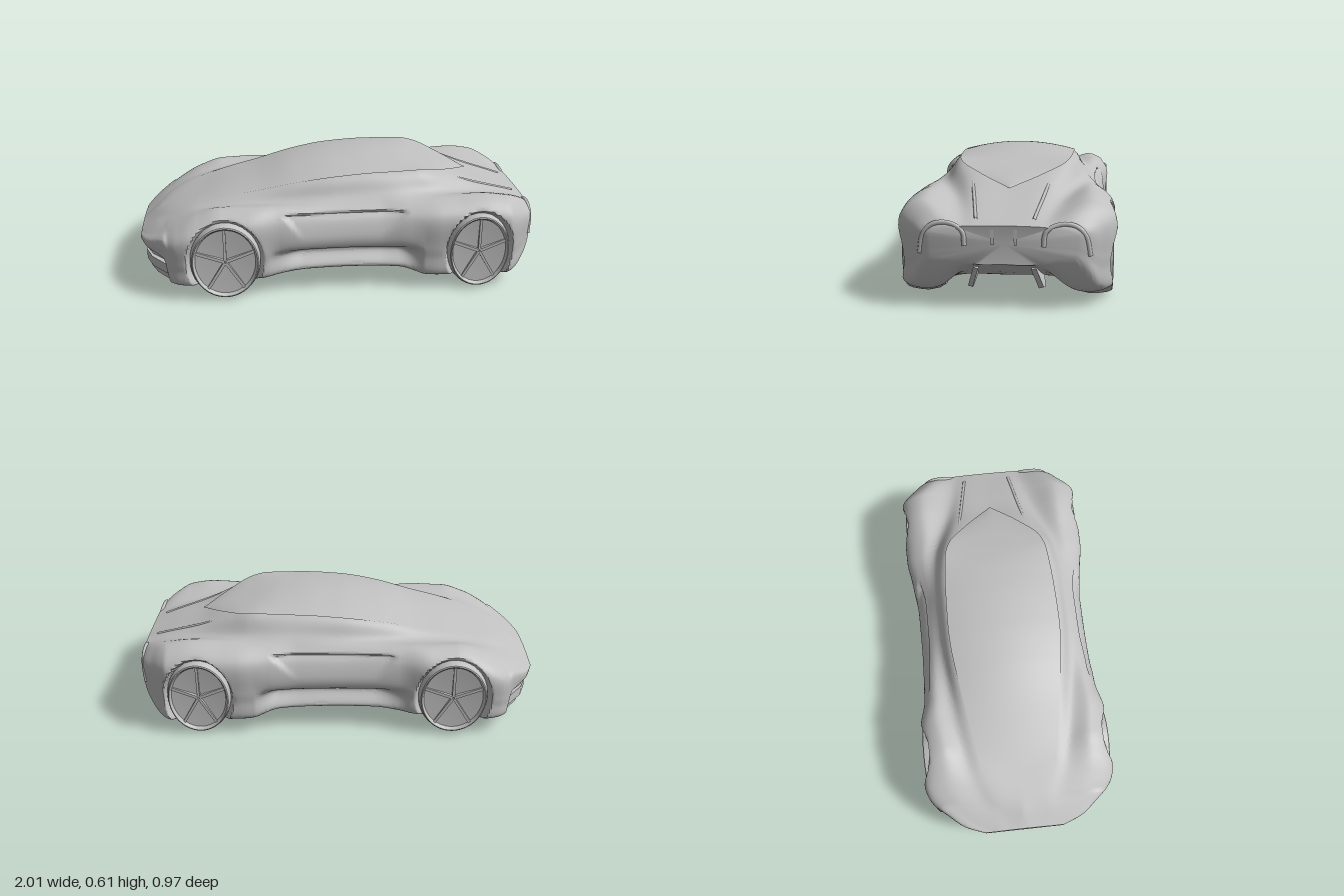
import * as THREE from 'three';
import { toCreasedNormals } from 'three/addons/utils/BufferGeometryUtils.js';

const silver = new THREE.MeshStandardMaterial({ color: 0xc0c0c0, side: THREE.DoubleSide });
silver.name = 'silver grey';

// Smooth monotone curve through [x, value] pairs
function curve(...p) {
  const n = p.length;
  const slope = i => (p[i + 1][1] - p[i][1]) / (p[i + 1][0] - p[i][0]);
  const tan = p.map((_, i) => {
    if (i === 0) return slope(0);
    if (i === n - 1) return slope(n - 2);
    const a = slope(i - 1), b = slope(i);
    return a * b <= 0 ? 0 : 2 * a * b / (a + b);
  });
  return x => {
    let i = 0;
    while (i < n - 2 && x > p[i + 1][0]) i++;
    const h = p[i + 1][0] - p[i][0], t = Math.min(1, Math.max(0, (x - p[i][0]) / h));
    const t2 = t * t, t3 = t2 * t;
    return (2 * t3 - 3 * t2 + 1) * p[i][1] + (t3 - 2 * t2 + t) * h * tan[i]
      + (3 * t2 - 2 * t3) * p[i + 1][1] + (t3 - t2) * h * tan[i + 1];
  };
}

// Body lines along the length (nose at -x, tail at +x)
const width = curve([-1, .2], [-.96, .3], [-.9, .375], [-.85, .43], [-.8, .465], [-.74, .48], [-.45, .475],
  [-.3, .445], [0, .435], [.2, .437], [.35, .455], [.5, .48], [.84, .482], [.88, .46], [.93, .415], [.98, .365], [1, .315]);
const floorY = curve([-1, .235], [-.87, .205], [-.845, .075], [-.4, .09], [0, .1], [.25, .09], [.45, .075],
  [.65, .07], [.85, .13], [1, .21]);
const rimY = curve([-1, .235], [-.87, .205], [-.845, .08], [-.7, .075], [-.4, .09], [0, .1], [.3, .09],
  [.45, .07], [.87, .062], [.92, .085], [.97, .16], [1, .24]);
const fenderY = curve([-1, .255], [-.95, .285], [-.9, .315], [-.8, .37], [-.7, .42], [-.58, .455], [-.4, .455],
  [-.2, .445], [0, .44], [.2, .44], [.4, .455], [.55, .47], [.72, .478], [.85, .46], [.93, .425], [.98, .39], [1, .365]);
const shoulder = curve([-.6, .78], [-.25, .88], [.25, .88], [.6, .78]);
const valleyZ = curve([-1, .12], [-.7, .25], [-.3, .315], [0, .337], [.25, .34], [.45, .325], [.7, .25], [1, .18]);
const valleyY = curve([-1, .26], [-.9, .325], [-.7, .41], [-.5, .443], [-.3, .457], [0, .482], [.3, .495],
  [.5, .478], [.7, .444], [.9, .405], [1, .375]);
const edgeZ = curve([-1, .06], [-.7, .19], [-.4, .24], [0, .282], [.2, .278], [.45, .255], [.6, .2], [.8, .15], [1, .12]);
const edgeY = curve([-1, .262], [-.85, .36], [-.7, .418], [-.55, .455], [-.4, .485], [-.2, .53], [0, .558],
  [.2, .569], [.4, .568], [.55, .53], [.72, .467], [.9, .412], [1, .378]);
const spineY = curve([-1, .265], [-.9, .34], [-.7, .42], [-.58, .458], [-.4, .507], [-.2, .567], [0, .597],
  [.15, .602], [.3, .592], [.5, .55], [.62, .51], [.72, .468], [.85, .427], [.95, .395], [1, .38]);
const scoop = curve([-.36, 0], [-.17, 1], [.3, 1], [.42, 0]);

const wheels = [
  { name: 'front', x: -.57, y: .207, rx: .178 },
  { name: 'rear', x: .70, y: .205, rx: .163 },
];
const wheelRadius = .205;

// Half cross-section from the floor centre round to the roof centre
function halfSection(x, perSpan) {
  const w = width(x), r = rimY(x), f = fenderY(x), s = scoop(x);
  const up = t => r + (f - r) * t;
  const pts = [
    [0, floorY(x)], [w * .4, floorY(x)], [w * .7, r], [w * (.97 - s * .03), up(.05 + s * .05)],
    [w * (.99 - s * .03) - s * .05, up(.3 + s * .02)], [w, up(.45)], [w * .988, up(.83)],
    [w * shoulder(x), f], [Math.min(valleyZ(x), w * (shoulder(x) - .09)), valleyY(x)],
    [edgeZ(x), edgeY(x)], [0, spineY(x)],
  ].map(([z, y]) => new THREE.Vector3(x, y, z));
  const line = new THREE.CatmullRomCurve3(pts, false, 'centripetal');
  return line.getPoints(perSpan * (pts.length - 1));
}

// Wheel wells and the door hollow pressed softly into the sides
function press(p) {
  const step = THREE.MathUtils.smoothstep;
  for (const k of wheels) {
    const d = Math.hypot((p.x - k.x) / k.rx, (p.y - k.y) / wheelRadius);
    if (p.z > .43) p.z += (.43 - p.z) * (1 - step(d, .95, 1.09));
  }
  const t = (p.y - .3) / .125;
  if (t > 0 && p.z > .34) {
    const ends = step(p.x, -.2 - t * .1, -.16 - t * .1) * (1 - step(p.x, .18 + t * .14, .22 + t * .14));
    p.z -= .022 * t * ends * (1 - step(t, .88, 1.02));
  }
  return p;
}

function bodyGeometry() {
  const N = 250, span = 8, pos = [], idx = [];
  let loop = 0;
  for (let i = 0; i <= N; i++) {
    const x = -1 + 2 * i / N;
    const half = halfSection(x, span).map(press);
    const other = half.slice(1, -1).reverse().map(p => new THREE.Vector3(p.x, p.y, -p.z));
    const ring = [...half, ...other];
    loop = ring.length;
    ring.forEach(p => pos.push(p.x, p.y, p.z));
  }
  for (let i = 0; i < N; i++) for (let j = 0; j < loop; j++) {
    const k = (j + 1) % loop, a = i * loop + j, c = i * loop + k;
    idx.push(a, a + loop, c, a + loop, c + loop, c);
  }
  // Flat caps on nose and tail
  const nose = pos.length / 3, tail = nose + 1;
  pos.push(-1, .25, 0, .99, .3, 0);
  for (let j = 0; j < loop; j++) {
    const k = (j + 1) % loop;
    idx.push(nose, j, k, tail, N * loop + k, N * loop + j);
  }
  const g = new THREE.BufferGeometry();
  g.setAttribute('position', new THREE.Float32BufferAttribute(pos, 3));
  g.setIndex(idx);
  return toCreasedNormals(g, .9);
}

// Roof shell with a pointed rear edge standing clear of the deck
function roofGeometry() {
  const halfW = curve([-.7, .19], [-.4, .24], [0, .286], [.2, .282], [.4, .268], [.48, .245], [.6, .14], [.72, 0]);
  const rim = curve([-.7, .42], [-.55, .459], [-.4, .49], [-.2, .536], [0, .565], [.2, .577], [.4, .578], [.48, .567], [.6, .53], [.72, .487]);
  const top = curve([-.7, .422], [-.58, .463], [-.4, .513], [-.2, .574], [0, .604], [.15, .61], [.3, .602], [.5, .563], [.62, .53], [.72, .49]);
  const g = new THREE.PlaneGeometry(1, 1, 24, 90), p = g.attributes.position;
  for (let i = 0; i < p.count; i++) {
    const v = p.getX(i) * 2, x = .01 + p.getY(i) * 1.42;
    p.setXYZ(i, x, top(x) + (rim(x) - top(x)) * v * v, v * halfW(x));
  }
  g.computeVertexNormals();
  return g;
}

// Level slab from a half outline of [x, z] points
function slab(half, top, height) {
  const pts = [...half, ...half.slice().reverse().map(([x, z]) => [x, -z])];
  const shape = new THREE.Shape(pts.map(([x, z]) => new THREE.Vector2(x, z)));
  const g = new THREE.ExtrudeGeometry(shape, { depth: height, bevelEnabled: false });
  return g.rotateX(Math.PI / 2).translate(0, top, 0);
}

function tube(points, side, r) {
  const path = new THREE.CatmullRomCurve3(points.map(([x, y, z]) => new THREE.Vector3(x, y, z * side)));
  return new THREE.TubeGeometry(path, 30, r, 8, false);
}

// Upright diffuser blade, leaning outwards at the bottom
function diffuserFin(side) {
  const outline = [[.72, .1], [.84, .06], [.91, .08], [.965, .185], [.86, .19]];
  const shape = new THREE.Shape(outline.map(([x, y]) => new THREE.Vector2(x, y - .12)));
  const g = new THREE.ExtrudeGeometry(shape, { depth: .022, bevelEnabled: false });
  return g.translate(0, 0, -.011).rotateX(side * -.3).translate(0, .12, side * .145);
}

function add(parent, name, geometry) {
  const m = new THREE.Mesh(geometry, silver);
  m.name = name;
  parent.add(m);
}

function makeWheel(k, side) {
  const g = new THREE.Group();
  g.name = k.name + (side > 0 ? 'LeftWheel' : 'RightWheel');
  const profile = [[0, -.19], [.14, -.19], [.175, -.18], [.194, -.15], [.205, -.1], [.204, -.07], [.197, -.025],
    [.188, -.003], [.182, 0], [.176, -.004], [.17, -.016], [.04, -.026], [0, -.024]].map(([r, z]) => new THREE.Vector2(r, z));
  add(g, 'tyreAndRim', toCreasedNormals(new THREE.LatheGeometry(profile, 56).rotateX(Math.PI / 2), .6));
  // Five spokes
  for (let i = 0; i < 5; i++) {
    const spoke = new THREE.BoxGeometry(.17, .016, .016).translate(.09, 0, -.018);
    add(g, 'spoke', spoke.rotateZ(Math.PI / 2 + i * Math.PI * .4));
  }
  g.position.set(k.x, k.y, side * .473);
  g.scale.x = k.rx / wheelRadius;
  if (side < 0) g.rotation.y = Math.PI;
  return g;
}

export function createModel() {
  const car = new THREE.Group();
  car.name = 'sportsCar';
  add(car, 'body', bodyGeometry());
  add(car, 'roof', roofGeometry());

  // Nose intake fin and splitter
  add(car, 'intakeFin', slab([[-.97, .22], [-.93, .31], [-.86, .39], [-.78, .41]], .224, .026));
  add(car, 'splitter', slab([[-.975, .2], [-.94, .29], [-.86, .39], [-.78, .41]], .175, .05));
  add(car, 'splitterBase', slab([[-.96, .19], [-.92, .28], [-.86, .36], [-.75, .4]], .125, .042));

  for (const side of [1, -1]) {
    for (const k of wheels) car.add(makeWheel(k, side));
    // Tail details
    add(car, 'tailLightRim', tube([[.974, .25, .368], [.982, .34, .347], [.984, .38, .305], [.986, .386, .24],
      [.995, .355, .18], [.994, .29, .17]], side, .011));
    add(car, 'bumperRib', new THREE.BoxGeometry(.02, .08, .014).translate(.988, .335, side * .05));
    add(car, 'diffuserFin', diffuserFin(side));
    // Raised crease running back along the deck
    add(car, 'deckCrease', tube([[.5, .545, .2], [.7, .472, .165], [.95, .394, .125]], side, .008));
  }
  return car;
}
